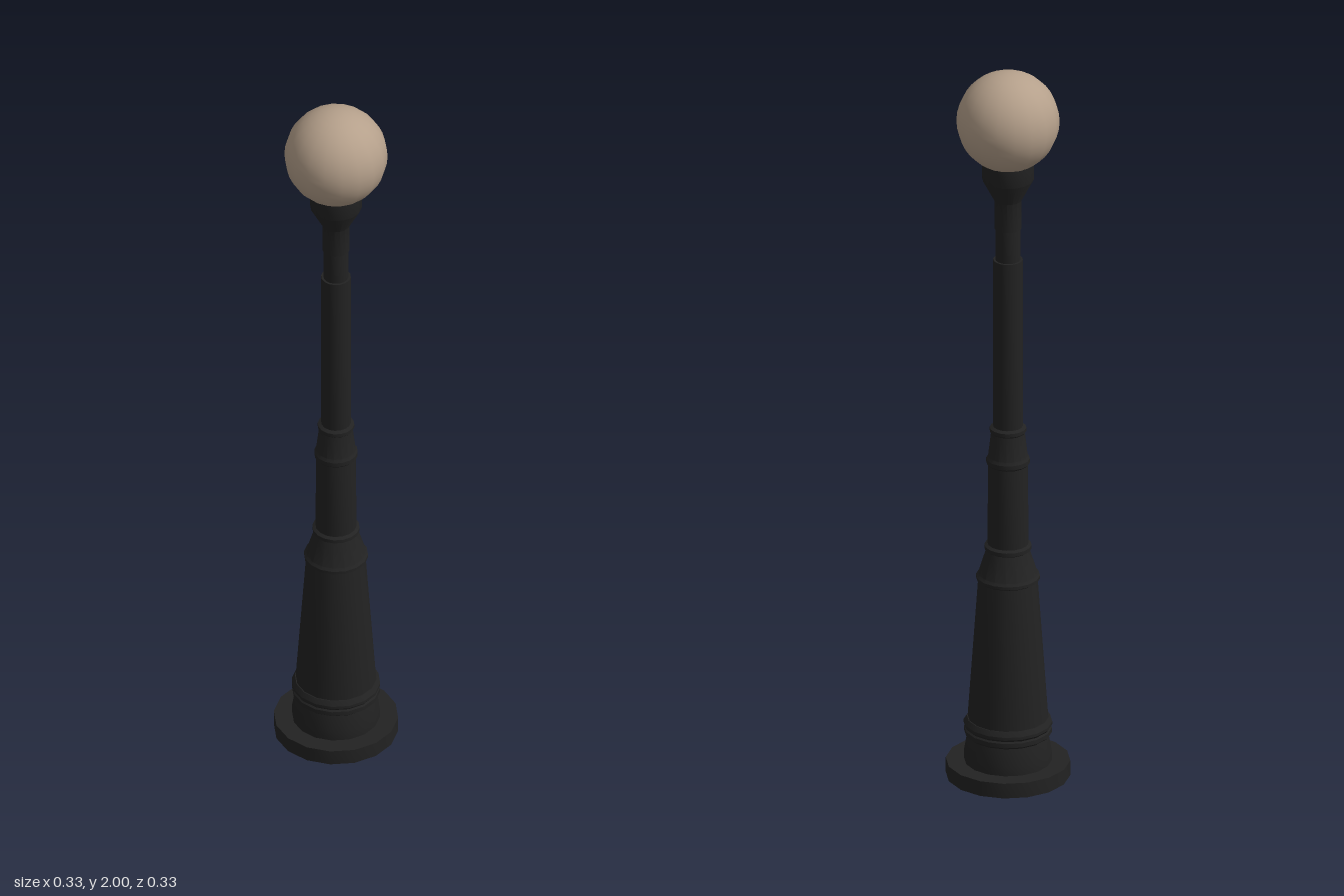
import * as THREE from 'three';
import { toCreasedNormals } from 'three/addons/utils/BufferGeometryUtils.js';

const SIDES = 16;

export function createModel() {
  const lamp = new THREE.Group();
  lamp.name = 'streetLamp';

  const iron = new THREE.MeshStandardMaterial({ color: 0x222222 });
  iron.name = 'black iron';
  const glass = new THREE.MeshStandardMaterial({ color: 0xb5a08b });
  glass.name = 'warm frosted glass';

  // Turned part from [radius, height] pairs, bottom to top, closed at both ends
  const turned = (name, profile) => {
    const points = [
      [0, profile[0][1]], ...profile, [0, profile[profile.length - 1][1]],
    ].map(([r, y]) => new THREE.Vector2(r, y));
    const geometry = toCreasedNormals(new THREE.LatheGeometry(points, SIDES), 0.5);
    const mesh = new THREE.Mesh(geometry, iron);
    mesh.name = name;
    lamp.add(mesh);
  };

  // Ground plate
  turned('basePlate', [[0.163, 0], [0.163, 0.042]]);

  // Plinth with its rounded moulding
  turned('plinth', [[0.115, 0.042], [0.115, 0.068], [0.106, 0.118]]);
  turned('plinthRing', [
    [0.108, 0.116], [0.115, 0.122], [0.115, 0.134], [0.111, 0.138],
    [0.116, 0.144], [0.116, 0.152], [0.108, 0.165],
  ]);

  // Wide tapering lower column and its shoulder
  turned('lowerColumn', [[0.106, 0.16], [0.078, 0.558]]);
  turned('lowerShoulder', [[0.077, 0.555], [0.084, 0.56], [0.084, 0.568], [0.078, 0.575], [0.057, 0.642]]);
  turned('lowerRing', [[0.055, 0.64], [0.062, 0.645], [0.062, 0.655], [0.054, 0.66]]);

  // Middle column and its shoulder
  turned('middleColumn', [[0.054, 0.655], [0.052, 0.89]]);
  turned('middleShoulder', [[0.052, 0.885], [0.057, 0.89], [0.057, 0.902], [0.052, 0.91], [0.044, 0.978]]);
  turned('middleRing', [[0.043, 0.975], [0.048, 0.98], [0.048, 0.99], [0.039, 0.995]]);

  // Slender upper pole and neck
  turned('upperPole', [[0.039, 0.99], [0.039, 1.47]]);
  turned('neck', [[0.033, 1.465], [0.033, 1.56]]);

  // Flared cup that holds the globe
  turned('globeHolder', [[0.036, 1.56], [0.036, 1.64], [0.068, 1.7], [0.068, 1.752]]);

  // Glass globe
  const globe = new THREE.Mesh(new THREE.SphereGeometry(0.135, 18, 18), glass);
  globe.name = 'globe';
  globe.position.y = 1.865;
  lamp.add(globe);

  return lamp;
}
